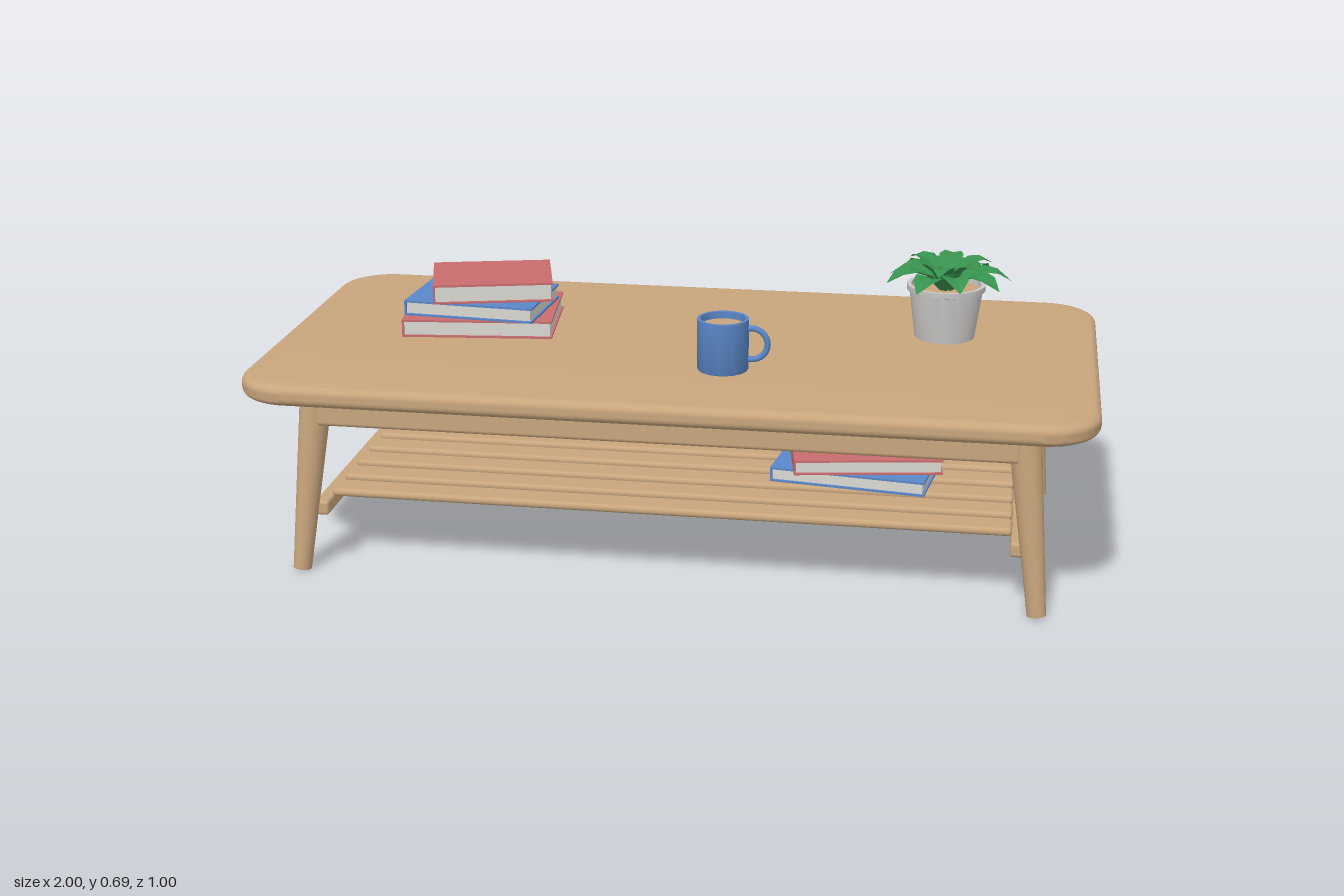
import * as THREE from 'three';
import { toCreasedNormals } from 'three/addons/utils/BufferGeometryUtils.js';
import { RoundedBoxGeometry } from 'three/addons/geometries/RoundedBoxGeometry.js';

const mat = (name, color, extra = {}) => {
  const m = new THREE.MeshStandardMaterial({ color, ...extra });
  m.name = name;
  return m;
};

export function createModel() {
  const wood = mat('wood', 0xc8a57c);
  const red = mat('red', 0xc86c6e);
  const blue = mat('blue', 0x5a87c8);
  const paper = mat('paper', 0xdad8d2);
  const ceramic = mat('ceramic', 0xc8c6c4);
  const leafGreen = mat('leafGreen', 0x37924e, { flatShading: true, side: THREE.DoubleSide });

  const model = new THREE.Group();
  model.name = 'coffeeTable';
  const add = (name, geometry, material, x = 0, y = 0, z = 0, parent = model) => {
    const mesh = new THREE.Mesh(geometry, material);
    mesh.name = name;
    mesh.position.set(x, y, z);
    parent.add(mesh);
    return mesh;
  };

  // Tabletop: rounded rectangle with soft edges
  const R = 0.13, X = 1, Z = 0.5;
  const outline = new THREE.Shape();
  outline.moveTo(-X + R, -Z);
  outline.lineTo(X - R, -Z);
  outline.absarc(X - R, -Z + R, R, -Math.PI / 2, 0);
  outline.lineTo(X, Z - R);
  outline.absarc(X - R, Z - R, R, 0, Math.PI / 2);
  outline.lineTo(-X + R, Z);
  outline.absarc(-X + R, Z - R, R, Math.PI / 2, Math.PI);
  outline.lineTo(-X, -Z + R);
  outline.absarc(-X + R, -Z + R, R, Math.PI, Math.PI * 1.5);
  const topGeometry = new THREE.ExtrudeGeometry(outline, {
    depth: 0.01, bevelThickness: 0.02, bevelSize: 0.02, bevelOffset: -0.02,
    bevelSegments: 5, curveSegments: 12,
  });
  topGeometry.rotateX(-Math.PI / 2);
  add('tabletop', toCreasedNormals(topGeometry, 0.6), wood, 0, 0.47, 0);

  // Splayed, tapered legs
  for (const sx of [-1, 1]) for (const sz of [-1, 1]) {
    const foot = new THREE.Vector3(sx * 0.88, 0.003, sz * 0.39);
    const head = new THREE.Vector3(sx * 0.83, 0.455, sz * 0.356);
    const axis = head.clone().sub(foot);
    const leg = add('leg', new THREE.CylinderGeometry(0.039, 0.022, axis.length(), 24), wood);
    leg.position.copy(foot).add(head).multiplyScalar(0.5);
    leg.quaternion.setFromUnitVectors(new THREE.Vector3(0, 1, 0), axis.normalize());
  }

  // Aprons under the top and stretchers between the legs
  const bar = (w, h, d, r) => new RoundedBoxGeometry(w, h, d, 3, r);
  for (const s of [-1, 1]) {
    add('longApron', bar(1.65, 0.075, 0.036, 0.01), wood, 0, 0.408, s * 0.377);
    add('shortApron', bar(0.036, 0.075, 0.7, 0.01), wood, s * 0.85, 0.408, 0);
    add('stretcher', bar(0.036, 0.036, 0.75, 0.008), wood, s * 0.83, 0.153, 0);
  }

  // Slatted shelf
  for (let i = -3; i <= 3; i++) {
    add('slat', bar(1.63, 0.02, 0.074, 0.0095), wood, 0, 0.18, i * 0.1);
  }

  // Books: two covers and a spine on the -x side, around a page block
  const book = (cover, w, h, d, x, y, z, degrees) => {
    const g = new THREE.Group();
    g.name = 'book';
    g.position.set(x, y, z);
    g.rotation.y = THREE.MathUtils.degToRad(degrees);
    const t = 0.005;
    add('backCover', new THREE.BoxGeometry(w, t, d), cover, 0, t / 2, 0, g);
    add('frontCover', new THREE.BoxGeometry(w, t, d), cover, 0, h - t / 2, 0, g);
    add('spine', new THREE.BoxGeometry(t, h - 2 * t, d), cover, -w / 2 + t / 2, h / 2, 0, g);
    add('pages', new THREE.BoxGeometry(w - 2 * t, h - 2 * t, d - 2 * t), paper, 0, h / 2, 0, g);
    model.add(g);
  };
  book(red, 0.372, 0.044, 0.27, -0.53, 0.5, -0.08, 6.2);
  book(blue, 0.33, 0.038, 0.235, -0.53, 0.545, -0.068, -4.2);
  book(red, 0.295, 0.048, 0.22, -0.505, 0.584, -0.078, 14.5);
  book(blue, 0.38, 0.036, 0.285, 0.433, 0.19, 0, -7.5);
  book(red, 0.36, 0.037, 0.27, 0.445, 0.227, 0.002, 9.5);

  const lathe = (points, segments = 32) => toCreasedNormals(
    new THREE.LatheGeometry(points.map(([r, y]) => new THREE.Vector2(r, y)), segments), 0.6);

  // Mug with drink and ring handle
  const mug = new THREE.Group();
  mug.name = 'mug';
  mug.position.set(0.12, 0.5, 0.2);
  model.add(mug);
  add('mugBody', lathe([[0, 0], [0.059, 0], [0.061, 0.004], [0.061, 0.125],
    [0.053, 0.125], [0.053, 0.1]]), blue, 0, 0, 0, mug);
  const disc = (r) => new THREE.CircleGeometry(r, 32).rotateX(-Math.PI / 2);
  add('drink', disc(0.054), wood, 0, 0.108, 0, mug);
  add('handle', new THREE.TorusGeometry(0.038, 0.0075, 10, 20, Math.PI * 1.3)
    .rotateZ(-Math.PI * 0.65), blue, 0.068, 0.065, 0, mug);

  // Potted plant
  const plant = new THREE.Group();
  plant.name = 'plant';
  plant.position.set(0.625, 0.5, -0.15);
  model.add(plant);
  add('pot', lathe([[0, 0], [0.074, 0], [0.09, 0.118], [0.096, 0.12], [0.096, 0.134],
    [0.086, 0.134], [0.084, 0.115]]), ceramic, 0, 0, 0, plant);
  add('soil', disc(0.086), wood, 0, 0.12, 0, plant);

  // Leaf: folded cross-sections [distance, height, half width] along an arch
  const leafGeometry = (sections, fold) => {
    const positions = [], index = [];
    sections.forEach(([r, y, w], i) => {
      positions.push(r, y + w * fold, -w, r, y, 0, r, y + w * fold, w);
      if (i === 0) return;
      for (let k = 0; k < 2; k++) {
        const a = (i - 1) * 3 + k, b = a + 3;
        index.push(a, a + 1, b, a + 1, b + 1, b);
      }
    });
    const g = new THREE.BufferGeometry();
    g.setAttribute('position', new THREE.Float32BufferAttribute(positions, 3));
    g.setIndex(index);
    g.computeVertexNormals();
    return g;
  };
  const outerLeaf = leafGeometry([[0.015, 0.12, 0.01], [0.05, 0.157, 0.028],
    [0.09, 0.17, 0.037], [0.125, 0.166, 0.027], [0.158, 0.148, 0.001]], 0.25);
  const innerLeaf = leafGeometry([[0.014, 0.12, 0.009], [0.035, 0.165, 0.023],
    [0.065, 0.186, 0.03], [0.092, 0.19, 0.02], [0.118, 0.18, 0.001]], 0.25);
  for (let i = 0; i < 9; i++) {
    const leaf = add('outerLeaf', outerLeaf, leafGreen, 0, 0, 0, plant);
    leaf.rotation.y = (i / 9) * Math.PI * 2 + 0.1;
    leaf.scale.set(i % 3 === 1 ? 0.92 : 1, i % 2 ? 1 : 0.97, 1);
  }
  for (let i = 0; i < 6; i++) {
    const leaf = add('innerLeaf', innerLeaf, leafGreen, 0, 0, 0, plant);
    leaf.rotation.y = (i / 6) * Math.PI * 2 + 0.4;
  }
  return model;
}
